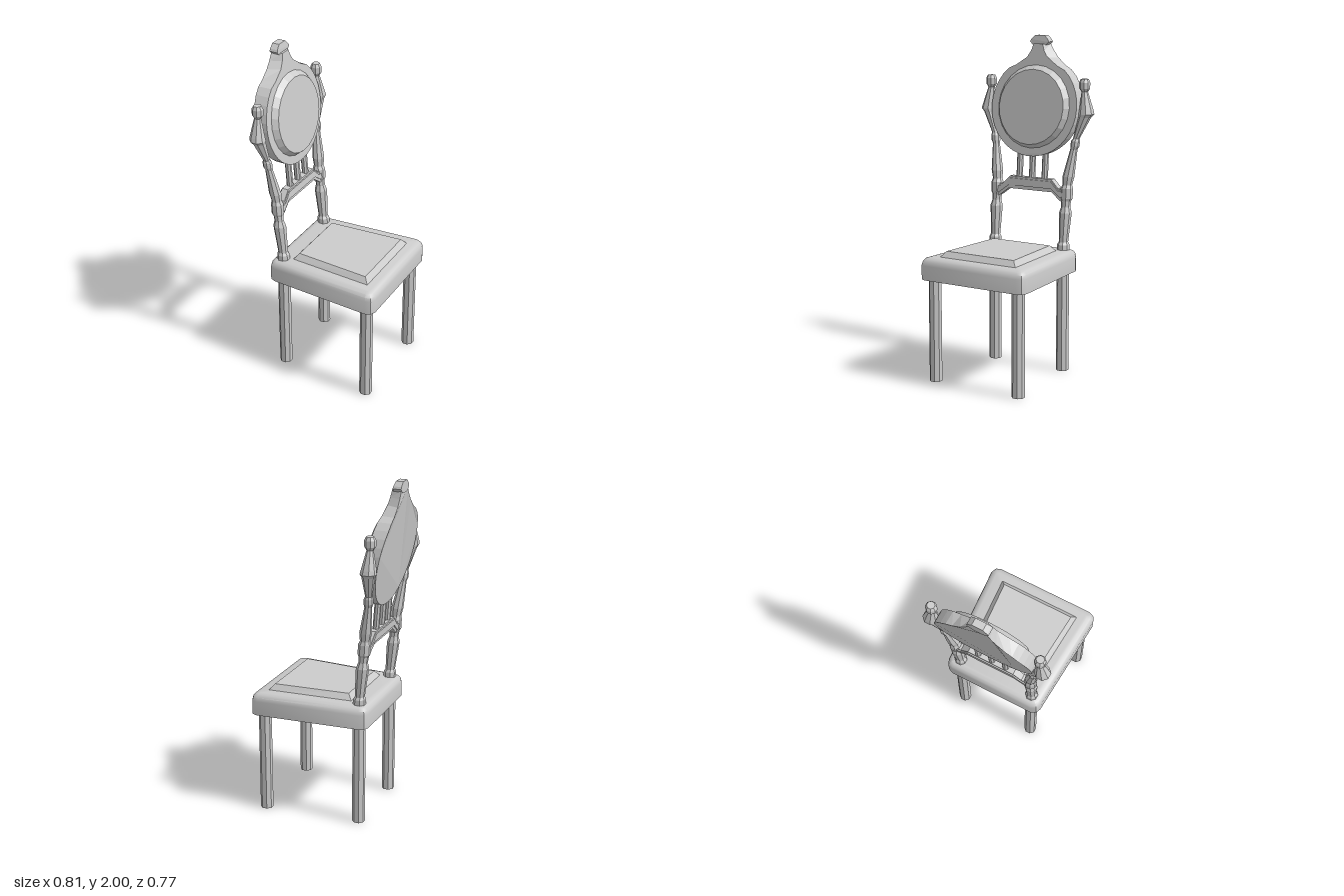
import * as THREE from 'three';
import { toCreasedNormals } from 'three/addons/utils/BufferGeometryUtils.js';

const flat = new THREE.MeshStandardMaterial({ color: 0xcccccc, flatShading: true });
const shell = new THREE.MeshStandardMaterial({ color: 0xcccccc, side: THREE.DoubleSide });

function add(group, name, geometry, material = flat) {
  const mesh = new THREE.Mesh(geometry, material);
  mesh.name = name;
  group.add(mesh);
  return mesh;
}

// Skin a stack of rings, each counter-clockwise seen from above
function loft(rings, bottom = true) {
  const n = rings[0].length, index = [];
  for (let i = 0; i < rings.length - 1; i++) {
    for (let j = 0; j < n; j++) {
      const a = i * n + j, b = i * n + (j + 1) % n;
      index.push(a, b, b + n, a, b + n, a + n);
    }
  }
  const top = (rings.length - 1) * n;
  for (let j = 1; j < n - 1; j++) {
    index.push(top, top + j, top + j + 1);
    if (bottom) index.push(0, j + 1, j);
  }
  const g = new THREE.BufferGeometry();
  g.setAttribute('position', new THREE.Float32BufferAttribute(rings.flat(2), 3));
  g.setIndex(index);
  g.computeVertexNormals();
  return g;
}

// Eight-sided horizontal ring with flats facing the axes
function octagon(x, y, z, r) {
  return Array.from({ length: 8 }, (_, i) => {
    const a = (i + 0.5) * Math.PI / 4, k = r / Math.cos(Math.PI / 8);
    return [x + k * Math.cos(a), y, z - k * Math.sin(a)];
  });
}

// Trapezoid ring, wider at the front, with softened corners
function trapezoid(y, x0, x1, z0, z1, inset, corner) {
  const xa = x0 + inset, xb = x1 - inset, za = z0 - inset, zb = z1 - inset;
  const c = corner, m = corner * 0.3;
  const right = [[xa, za - c], [xa + m, za - m], [xa + c, za], [xb - c, zb], [xb - m, zb - m], [xb, zb - c]];
  const left = right.map(([x, z]) => [x, -z]).reverse();
  return [...right, ...left].map(([x, z]) => [x, y, z]);
}

// Backrest depth follows these leaning planes
const CY = 1.58, LEAN = 0.14;
const plateFront = y => Math.min(-0.29 - LEAN * (y - CY), -0.25);
const plateBack = y => Math.max(-0.365 - 0.19 * (y - CY), -0.403);
// The crest narrows towards its front face
const crestTaper = y => 1 - 0.4 * THREE.MathUtils.smoothstep(y, 1.79, 1.9);

// Extrude a (side, height) outline, map its depth between two x rules and taper its front
function slab(points, back, front, taper = () => 1) {
  const shape = new THREE.Shape(points.map(p => new THREE.Vector2(p[0], p[1])));
  const g = new THREE.ExtrudeGeometry(shape, { depth: 1, bevelEnabled: false });
  g.rotateY(Math.PI / 2);
  const p = g.attributes.position;
  for (let i = 0; i < p.count; i++) {
    const y = p.getY(i), t = p.getX(i);
    p.setX(i, THREE.MathUtils.lerp(back(y), front(y), t));
    p.setZ(i, p.getZ(i) * THREE.MathUtils.lerp(1, taper(y), t));
  }
  g.computeVertexNormals();
  return g;
}

const mirrored = half => [...half, ...half.map(([x, y]) => [-x, y]).reverse()];

export function createModel() {
  const chair = new THREE.Group();
  chair.name = 'chair';

  // Seat: rolled upper edge, open below with a recessed underside
  const seatRing = (y, d) => trapezoid(y, -0.308, 0.405, 0.313, 0.354, d, 0.045 - d * 0.7);
  const seatRings = [[0.615, 0], [0.7, 0], [0.722, 0.006], [0.738, 0.02], [0.745, 0.042]]
    .map(([y, d]) => seatRing(y, d));
  add(chair, 'seat', toCreasedNormals(loft(seatRings, false), 0.6), shell);
  add(chair, 'seatUnderside', loft([seatRing(0.675, 0.002)], false), shell);

  // Raised seat panel with sloping borders
  const panelRings = [[0.744, 0], [0.778, 0.028]]
    .map(([y, d]) => trapezoid(y, -0.185, 0.325, 0.225, 0.257, d, 0.001));
  add(chair, 'seatPanel', loft(panelRings));

  // Post sections: x, y, z, radius
  const post = [
    [-0.24, 0.74, 0.24, 0.035], [-0.242, 0.775, 0.24, 0.034], [-0.244, 0.79, 0.24, 0.026],
    [-0.25, 0.86, 0.241, 0.03], [-0.26, 0.965, 0.243, 0.035], [-0.263, 1.0, 0.243, 0.025],
    [-0.267, 1.035, 0.243, 0.027], [-0.269, 1.05, 0.244, 0.034], [-0.272, 1.11, 0.244, 0.034],
    [-0.275, 1.13, 0.245, 0.027], [-0.28, 1.18, 0.25, 0.033], [-0.303, 1.34, 0.272, 0.02],
    [-0.306, 1.36, 0.277, 0.025], [-0.308, 1.39, 0.28, 0.025], [-0.31, 1.405, 0.284, 0.018],
    [-0.325, 1.53, 0.33, 0.035], [-0.328, 1.55, 0.34, 0.043], [-0.33, 1.575, 0.338, 0.039],
    [-0.332, 1.68, 0.325, 0.018], [-0.332, 1.7, 0.324, 0.03], [-0.332, 1.735, 0.324, 0.03],
    [-0.332, 1.755, 0.324, 0.021],
  ];

  // Legs and turned back posts on both sides
  for (const [side, s] of [['left', -1], ['right', 1]]) {
    for (const [end, x, z] of [['Front', 0.337, 0.285], ['Back', -0.24, 0.24]]) {
      add(chair, `${side}${end}Leg`, loft([octagon(x, 0, s * z, 0.035), octagon(x, 0.69, s * z, 0.035)]));
    }
    add(chair, `${side}BackPost`, loft(post.map(([x, y, z, r]) => octagon(x, y, s * z, r))));
  }

  // Arched cross rail with a raised middle band
  const arch = (lo, hi) => [
    [-0.235, 1.025 + lo], [-0.21, 1.035 + lo], [-0.15, 1.08 + lo],
    [0.15, 1.08 + lo], [0.21, 1.035 + lo], [0.235, 1.025 + lo],
    [0.235, 1.1 - hi], [0.195, 1.105 - hi], [0.145, 1.155 - hi],
    [-0.145, 1.155 - hi], [-0.195, 1.105 - hi], [-0.235, 1.1 - hi],
  ];
  const railX = y => -0.272 - 0.09 * (y - 1.09);
  add(chair, 'crossRail', slab(arch(0, 0), y => railX(y) - 0.02, y => railX(y) + 0.02));
  add(chair, 'crossRailBand', slab(arch(0.02, 0.012), y => railX(y) - 0.028, y => railX(y) + 0.028));

  // Three spindles between rail and medallion
  for (const z of [-0.088, 0, 0.088]) {
    add(chair, 'spindle', loft([octagon(-0.276, 1.13, z, 0.018), octagon(-0.292, 1.36, z, 0.018)]));
  }

  // Medallion plate: a disc rising into a peaked crest
  const half = [];
  for (let i = 0; i <= 14; i++) {
    const a = -Math.PI / 2 + (i + 0.5) / 14.5 * 2.42;
    half.push([0.295 * Math.cos(a), CY + 0.295 * Math.sin(a)]);
  }
  half.push([0.155, 1.825], [0.105, 1.87], [0.075, 1.91], [0.052, 1.95]);
  add(chair, 'medallionPlate', slab(mirrored(half), plateBack, plateFront, crestTaper));

  // Knob on top of the crest
  const knob = mirrored([[0.025, 1.935], [0.048, 1.945], [0.064, 1.962], [0.058, 1.975], [0.032, 2.0]]);
  add(chair, 'crestKnob', slab(knob, () => -0.406, y => -0.355 - 0.2 * Math.max(0, y - 1.96)));

  // Round back cushion, sheared to follow the lean
  const cushion = new THREE.CylinderGeometry(0.222, 0.252, 0.04, 24);
  cushion.rotateZ(-Math.PI / 2);
  const p = cushion.attributes.position;
  for (let i = 0; i < p.count; i++) p.setX(i, p.getX(i) - LEAN * p.getY(i));
  cushion.computeVertexNormals();
  add(chair, 'backCushion', cushion).position.set(-0.278, CY, 0);

  return chair;
}
